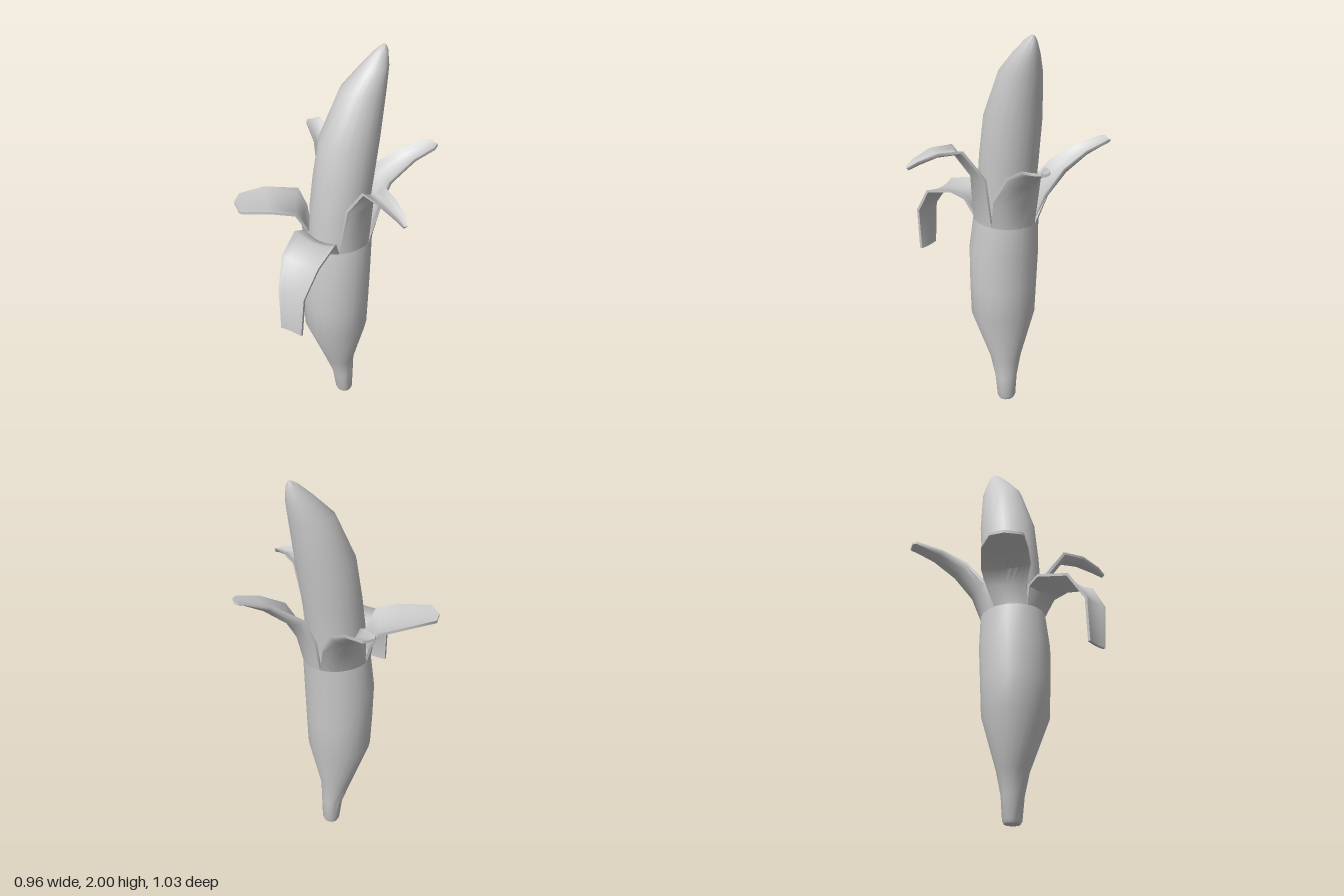
import * as THREE from 'three';
import { toCreasedNormals } from 'three/addons/utils/BufferGeometryUtils.js';

const V = (x, y, z) => new THREE.Vector3(x, y, z);
const SIDES = 20, COLS = 8, SKIN = 0.014;

// Skin closes into a full ring at this section: [y, xMin, xMax, zMin, zMax]
const RIM = [1.03, -0.2, 0.145, -0.178, 0.138];

// Point on an elliptical section at angle a (from +x towards +z)
function onSection([y, x0, x1, z0, z1], a) {
  return V((x0 + x1) / 2 + Math.cos(a) * (x1 - x0) / 2, y, (z0 + z1) / 2 + Math.sin(a) * (z1 - z0) / 2);
}

// Joins closed loops of points into a surface, with capped ends
function loft(loops, capStart, crease) {
  const n = loops[0].length, pos = [], index = [];
  loops.forEach(l => l.forEach(p => pos.push(p.x, p.y, p.z)));
  for (let i = 0; i < loops.length - 1; i++) {
    for (let j = 0; j < n; j++) {
      const a = i * n + j, b = i * n + (j + 1) % n;
      index.push(a, a + n, b, b, a + n, b + n);
    }
  }
  const cap = (row, flip) => {
    const c = loops[row].reduce((s, p) => s.add(p), V(0, 0, 0)).divideScalar(n);
    const k = pos.length / 3;
    pos.push(c.x, c.y, c.z);
    for (let j = 0; j < n; j++) {
      const a = row * n + j, b = row * n + (j + 1) % n;
      if (flip) index.push(k, a, b); else index.push(k, b, a);
    }
  };
  if (capStart) cap(0, true);
  cap(loops.length - 1, false);
  const g = new THREE.BufferGeometry();
  g.setAttribute('position', new THREE.Float32BufferAttribute(pos, 3));
  g.setIndex(index);
  return toCreasedNormals(g, crease);
}

function sectionLoft(sections) {
  return loft(sections.map(s => Array.from({ length: SIDES }, (_, j) => onSection(s, j / SIDES * Math.PI * 2))), true, 0.8);
}

// Peel strip: starts on the rim between two angles, then follows rows of
// [left edge xyz, right edge xyz, outward bulge of the middle]
function peelStrip(fromDeg, toDeg, rows) {
  const rad = THREE.MathUtils.degToRad;
  const mids = rows.map(r => V(r[0] + r[3], r[1] + r[4], r[2] + r[5]).multiplyScalar(0.5));
  const centre = V((RIM[1] + RIM[2]) / 2, RIM[0], (RIM[3] + RIM[4]) / 2);
  const outer = [], inner = [];
  for (let j = 0; j <= COLS; j++) {
    const p = onSection(RIM, rad(fromDeg + (toDeg - fromDeg) * j / COLS));
    outer.push(p);
    inner.push(p.clone().add(centre.clone().sub(p).setLength(SKIN)));
  }
  const loops = [[...outer, ...inner.reverse()]];
  const start = outer[0].clone().add(outer[COLS]).multiplyScalar(0.5);
  rows.forEach((r, i) => {
    const left = V(r[0], r[1], r[2]), right = V(r[3], r[4], r[5]);
    const along = (mids[i + 1] || mids[i]).clone().sub(mids[i - 1] || start);
    const normal = along.cross(right.clone().sub(left)).normalize();
    const out = [], inn = [];
    for (let j = 0; j <= COLS; j++) {
      const t = j / COLS;
      const p = left.clone().lerp(right, t).addScaledVector(normal, r[6] * (1 - (2 * t - 1) ** 2));
      out.push(p);
      inn.push(p.clone().addScaledVector(normal, -SKIN));
    }
    loops.push([...out, ...inn.reverse()]);
  });
  return loft(loops, false, 0.9);
}

export function createModel() {
  const group = new THREE.Group();
  const material = new THREE.MeshStandardMaterial({ color: 0xcccccc, side: THREE.DoubleSide });
  const add = (name, geometry) => {
    const mesh = new THREE.Mesh(geometry, material);
    mesh.name = name;
    group.add(mesh);
  };

  // Closed lower skin with the stem
  add('lowerSkin', sectionLoft([
    [0, -0.036, 0.036, -0.05, 0.03],
    [0.015, -0.043, 0.042, -0.058, 0.038],
    [0.13, -0.06, 0.046, -0.068, 0.046],
    [0.24, -0.1, 0.05, -0.098, 0.062],
    [0.5, -0.205, 0.11, -0.18, 0.15],
    [0.67, -0.215, 0.12, -0.186, 0.155],
    [0.85, -0.22, 0.13, -0.192, 0.157],
    RIM,
  ]));

  // Bare fruit, leaning to +x
  add('fruit', sectionLoft([
    [0.95, -0.175, 0.1, -0.16, 0.122],
    [1.2, -0.165, 0.125, -0.165, 0.125],
    [1.36, -0.145, 0.15, -0.165, 0.125],
    [1.57, -0.11, 0.185, -0.16, 0.118],
    [1.81, 0, 0.224, -0.12, 0.08],
    [1.91, 0.1, 0.24, -0.078, 0.045],
    [1.975, 0.172, 0.24, -0.045, 0.01],
    [2, 0.208, 0.232, -0.028, -0.008],
  ]));

  // Five peeled strips
  add('leftPeel', peelStrip(-30, 57, [
    [0.15, 1.18, -0.1, 0.11, 1.18, 0.125, 0.045],
    [0.2, 1.31, -0.085, 0.2, 1.32, 0.1, 0.055],
    [0.34, 1.4, -0.025, 0.34, 1.4, 0.1, 0.035],
    [0.45, 1.43, 0.02, 0.45, 1.43, 0.105, 0.012],
    [0.48, 1.435, 0.035, 0.48, 1.435, 0.085, 0.008],
  ]));
  add('frontPeel', peelStrip(57, 118, [
    [0.065, 1.28, 0.15, -0.08, 1.28, 0.15, 0.022],
    [0.05, 1.435, 0.26, -0.065, 1.435, 0.26, 0.022],
    [0.035, 1.438, 0.37, -0.055, 1.438, 0.37, 0.02],
    [0.02, 1.41, 0.47, -0.03, 1.41, 0.47, 0.015],
    [0.004, 1.385, 0.51, -0.014, 1.385, 0.51, 0.004],
  ]));
  add('rightFrontPeel', peelStrip(118, 180, [
    [-0.15, 1.11, 0.15, -0.22, 1.12, -0.02, 0.02],
    [-0.19, 1.145, 0.205, -0.28, 1.145, -0.005, 0.025],
    [-0.31, 1.115, 0.27, -0.4, 1.115, 0.09, 0.02],
    [-0.395, 0.985, 0.285, -0.455, 0.985, 0.155, 0.01],
    [-0.405, 0.765, 0.27, -0.455, 0.765, 0.165, 0.005],
  ]));
  add('rightBackPeel', peelStrip(180, 241, [
    [-0.21, 1.13, -0.03, -0.11, 1.13, -0.2, 0.02],
    [-0.26, 1.22, -0.03, -0.13, 1.21, -0.238, 0.025],
    [-0.36, 1.235, -0.09, -0.28, 1.235, -0.3, 0.012],
    [-0.472, 1.232, -0.165, -0.41, 1.232, -0.315, 0.004],
    [-0.482, 1.232, -0.18, -0.463, 1.232, -0.265, 0],
  ]));
  add('backPeel', peelStrip(241, 330, [
    [-0.06, 1.17, -0.19, 0.14, 1.17, -0.155, 0.04],
    [0, 1.29, -0.265, 0.155, 1.29, -0.25, 0.045],
    [0.05, 1.36, -0.375, 0.16, 1.36, -0.37, 0.03],
    [0.082, 1.395, -0.5, 0.16, 1.395, -0.495, 0.008],
    [0.095, 1.395, -0.515, 0.155, 1.395, -0.505, 0.003],
  ]));

  return group;
}
